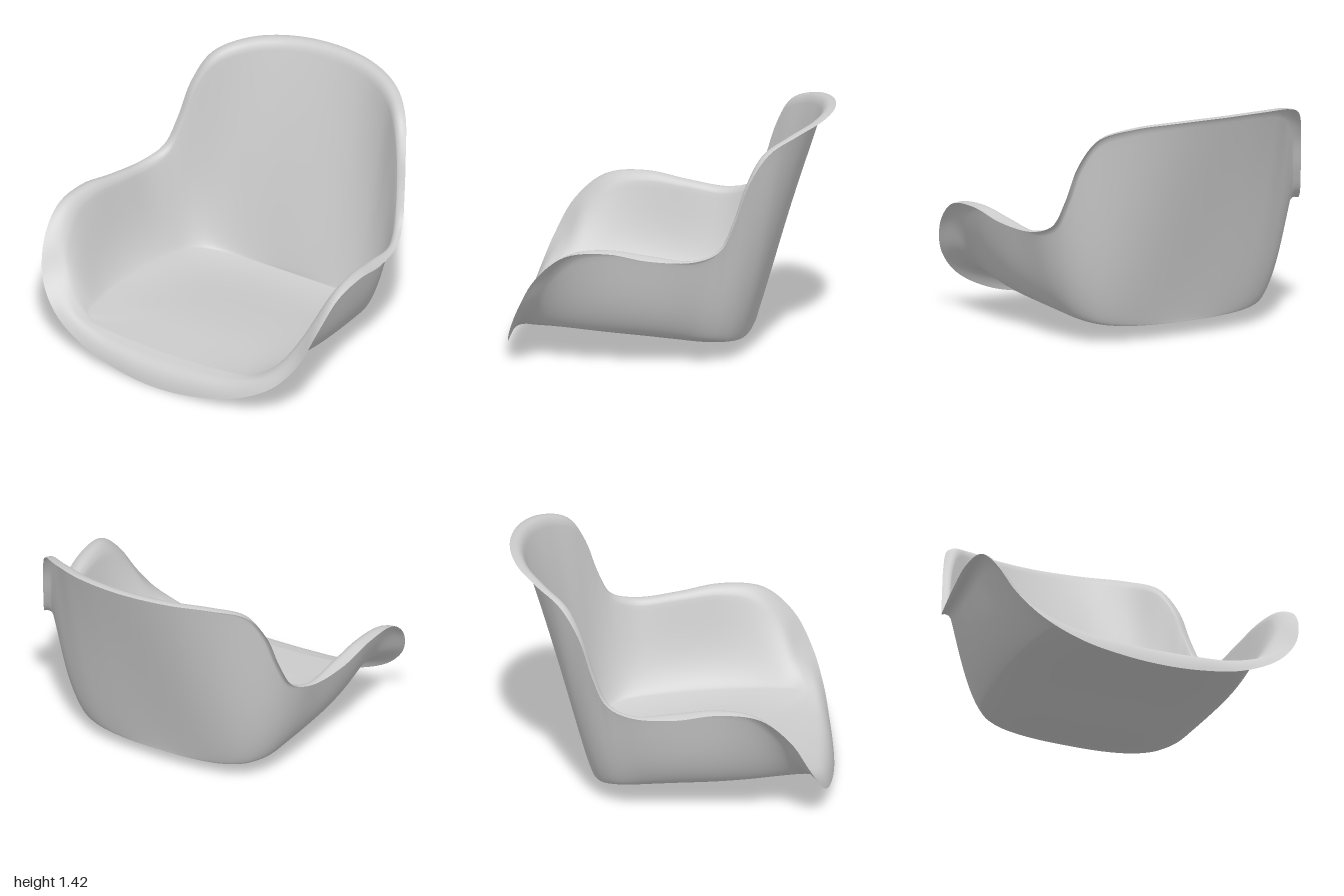
import * as THREE from 'three';

// Matching stations on one half, from back centre round the arm to front centre
const RIM = [
  [0, 1.42, -0.96], [0.3, 1.41, -0.915], [0.53, 1.378, -0.8], [0.69, 1.3, -0.65], [0.765, 1.13, -0.54],
  [0.81, 0.9, -0.46], [0.85, 0.745, -0.38], [0.905, 0.69, -0.24], [0.965, 0.7, 0.03], [0.993, 0.745, 0.28],
  [1, 0.72, 0.53], [0.975, 0.57, 0.71], [0.905, 0.37, 0.82], [0.76, 0.205, 0.885], [0.52, 0.08, 0.925],
  [0.26, 0.02, 0.95], [0, 0, 0.96],
];
const SHOULDER = [
  [0, 1.36, -0.87], [0.28, 1.352, -0.83], [0.5, 1.315, -0.72], [0.645, 1.24, -0.59], [0.72, 1.09, -0.51],
  [0.765, 0.88, -0.44], [0.8, 0.71, -0.355], [0.845, 0.655, -0.22], [0.87, 0.68, 0.03], [0.89, 0.705, 0.27],
  [0.895, 0.67, 0.47], [0.86, 0.53, 0.63], [0.785, 0.35, 0.74], [0.67, 0.235, 0.825], [0.46, 0.165, 0.85],
  [0.23, 0.143, 0.855], [0, 0.138, 0.855],
];
const SEAT_EDGE = [
  [0, 0.09, -0.478], [0.25, 0.093, -0.47], [0.43, 0.105, -0.445], [0.54, 0.12, -0.4], [0.6, 0.135, -0.345],
  [0.63, 0.145, -0.295], [0.645, 0.152, -0.245], [0.655, 0.16, -0.15], [0.67, 0.175, 0.05], [0.68, 0.19, 0.28],
  [0.675, 0.205, 0.48], [0.655, 0.215, 0.63], [0.63, 0.217, 0.75], [0.57, 0.195, 0.79], [0.42, 0.168, 0.8],
  [0.22, 0.152, 0.8], [0, 0.148, 0.8],
];

// Mirror a half outline into a closed smooth loop
function loop(half) {
  const right = half.map((p) => new THREE.Vector3(...p));
  const left = right.slice(1, -1).reverse().map((p) => new THREE.Vector3(-p.x, p.y, p.z));
  return new THREE.CatmullRomCurve3([...right, ...left], true);
}

// Height of the dished seat along its centre line
const seatHeight = (z) => 0.055 + 0.095 * THREE.MathUtils.smoothstep(z, -0.55, 0.5);

const SEAT_ROWS = 24, WALL_ROWS = 28, LIP_ROWS = 12, COLUMNS = 192;

// One section from the seat centre, up the wall and out over the rolled lip
function section(floor, shoulder, rim) {
  const points = [];
  for (let i = 0; i < SEAT_ROWS; i++) {
    const s = Math.sin((0.004 + 0.996 * i / SEAT_ROWS) * Math.PI / 2);
    const z = THREE.MathUtils.lerp(0.15, floor.z, s);
    const rise = (floor.y - seatHeight(floor.z)) * s ** 5;
    points.push(new THREE.Vector3(floor.x * s, seatHeight(z) + rise, z));
  }
  // The side walls belly outward near the seat, the back stays nearly straight
  const out = new THREE.Vector3(floor.x, 0, floor.z - 0.15).normalize();
  const bulge = (0.1 * out.x * out.x - 0.01) * (shoulder.y - floor.y);
  for (let i = 0; i < WALL_ROWS; i++) {
    const t = (i / WALL_ROWS) ** 1.6;
    points.push(floor.clone().lerp(shoulder, t).addScaledVector(out, bulge * Math.sin(Math.PI * t ** 0.6)));
  }
  // The lip curls over more where the wall stands upright
  const along = shoulder.clone().sub(floor).normalize();
  const curl = 0.5 + 0.3 * Math.max(0, along.y);
  const control = shoulder.clone().addScaledVector(along, curl * shoulder.distanceTo(rim));
  points.push(...new THREE.QuadraticBezierCurve3(shoulder, control, rim).getPoints(LIP_ROWS));
  return points;
}

export function createModel() {
  const [rim, shoulder, floor] = [RIM, SHOULDER, SEAT_EDGE].map(loop);
  const positions = [], index = [];
  let rows = 0;
  for (let j = 0; j < COLUMNS; j++) {
    const t = j / COLUMNS;
    const points = section(floor.getPoint(t), shoulder.getPoint(t), rim.getPoint(t));
    rows = points.length;
    points.forEach((p) => positions.push(p.x, p.y, p.z));
  }
  for (let j = 0; j < COLUMNS; j++) {
    const a = j * rows, b = ((j + 1) % COLUMNS) * rows;
    for (let i = 0; i < rows - 1; i++) {
      index.push(a + i, b + i + 1, a + i + 1, a + i, b + i, b + i + 1);
    }
  }
  // Cap the tiny opening at the seat centre
  const centre = positions.length / 3;
  positions.push(0, seatHeight(0.15), 0.15);
  for (let j = 0; j < COLUMNS; j++) index.push(centre, ((j + 1) % COLUMNS) * rows, j * rows);

  const geometry = new THREE.BufferGeometry();
  geometry.setAttribute('position', new THREE.Float32BufferAttribute(positions, 3));
  geometry.setIndex(index);
  geometry.computeVertexNormals();

  const shell = new THREE.Mesh(geometry, new THREE.MeshStandardMaterial({ color: 0xcccccc, side: THREE.DoubleSide }));
  shell.name = 'seatShell';
  const group = new THREE.Group();
  group.name = 'bucketSeat';
  group.add(shell);
  return group;
}
